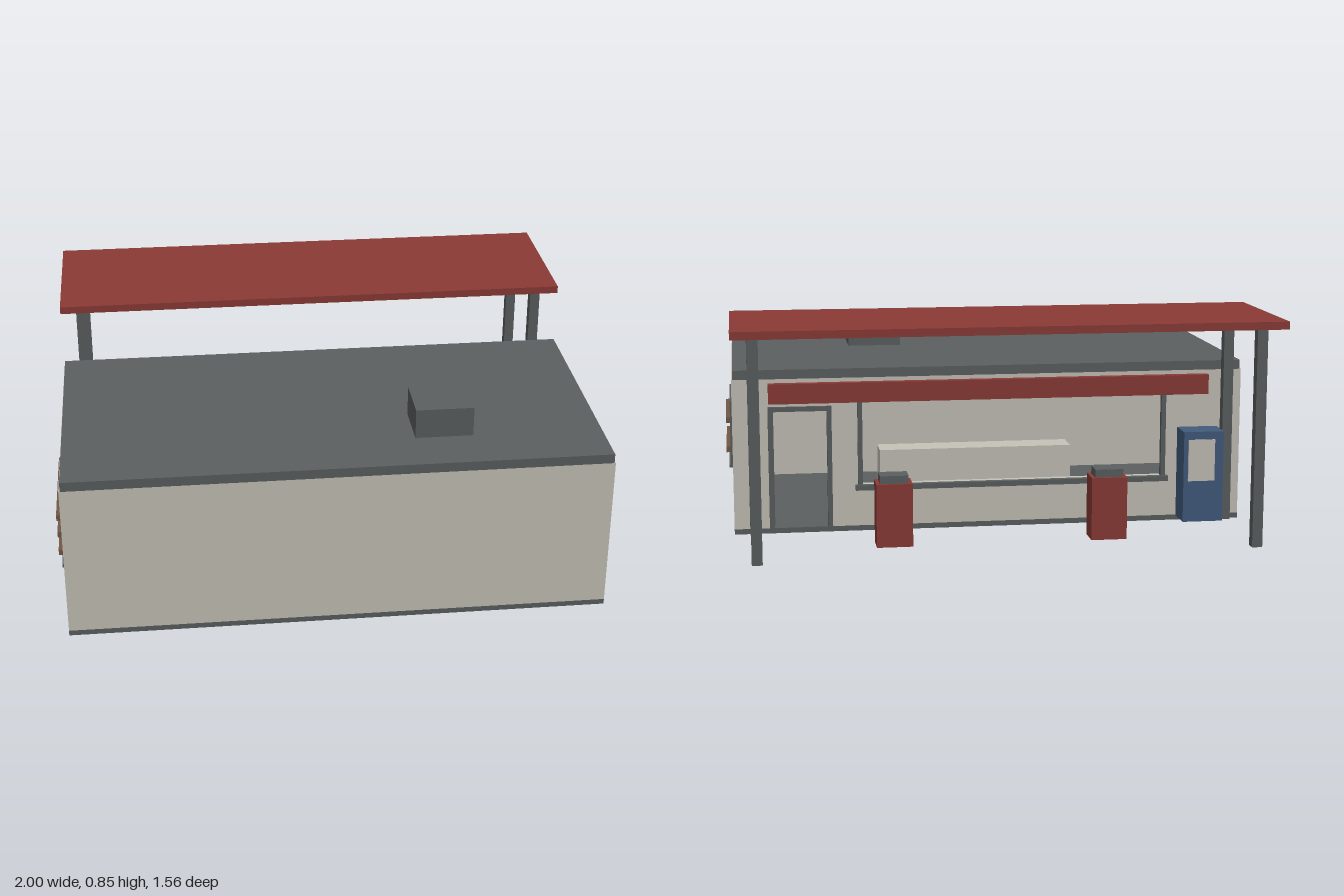
import * as THREE from 'three';

const material = (name, color) => {
  const m = new THREE.MeshStandardMaterial({ color });
  m.name = name;
  return m;
};

export function createModel() {
  const model = new THREE.Group();
  model.name = 'fillingStation';
  const plaster = material('plaster', 0xc6c2b8);
  const grey = material('grey', 0x5b5f5f);
  const red = material('red', 0x8a3a35);
  const blue = material('blue', 0x425b7d);
  const wood = material('wood', 0x735845);

  // Box given by its lower and upper limits on each axis
  const box = (name, mat, [x0, x1], [y0, y1], [z0, z1], parent = model) => {
    const mesh = new THREE.Mesh(new THREE.BoxGeometry(x1 - x0, y1 - y0, z1 - z0), mat);
    mesh.position.set((x0 + x1) / 2, (y0 + y1) / 2, (z0 + z1) / 2);
    mesh.name = name;
    parent.add(mesh);
    return mesh;
  };
  const rectangle = (Type, x0, x1, y0, y1) => new Type([
    new THREE.Vector2(x0, y0), new THREE.Vector2(x1, y0),
    new THREE.Vector2(x1, y1), new THREE.Vector2(x0, y1),
  ]);
  const T = 0.025; // wall thickness
  const wall = (name, shape) => {
    const geometry = new THREE.ExtrudeGeometry(shape, { depth: T, bevelEnabled: false });
    const mesh = new THREE.Mesh(geometry, plaster);
    mesh.name = name;
    model.add(mesh);
    return mesh;
  };

  // Floor, roof and plain front wall
  box('floorSlab', grey, [-0.975, 0.975], [0, 0.02], [-0.19, 0.78]);
  box('roof', grey, [-0.97, 0.97], [0.59, 0.625], [-0.19, 0.78]);
  box('frontWall', plaster, [-0.975, 0.975], [0.02, 0.59], [0.78 - T, 0.78]);

  // Rear wall with a doorway notch and a wide shop window
  const rear = new THREE.Shape([
    [-0.975, 0.02], [0.62, 0.02], [0.62, 0.47], [0.84, 0.47],
    [0.84, 0.02], [0.975, 0.02], [0.975, 0.59], [-0.975, 0.59],
  ].map(([x, y]) => new THREE.Vector2(x, y)));
  rear.holes.push(rectangle(THREE.Path, -0.67, 0.5, 0.18, 0.515));
  wall('rearWall', rear).position.z = -0.19;

  // Frames of the doorway and the shop window
  const frameZ = [-0.2, -0.18];
  for (const x of [0.605, 0.825]) box('doorJamb', grey, [x, x + 0.018], [0.02, 0.485], frameZ);
  box('doorHead', grey, [0.605, 0.843], [0.467, 0.485], frameZ);
  box('doorLeaf', grey, [0.822, 0.835], [0.025, 0.465], [-0.17, 0.03]);
  for (const x of [-0.68, 0.49]) box('shopWindowPost', grey, [x, x + 0.018], [0.17, 0.52], frameZ);
  box('shopWindowHead', grey, [-0.68, 0.508], [0.505, 0.52], frameZ);
  box('shopWindowSill', grey, [-0.69, 0.518], [0.16, 0.18], [-0.213, -0.165]);
  box('counter', plaster, [-0.39, 0.39], [0.02, 0.22], [0.24, 0.36]);
  box('signBoard', red, [-0.84, 0.84], [0.5, 0.575], [-0.222, -0.19]);

  // Side walls with framed, boarded windows; boards are [y, z start, z end, tilt]
  const boards = {
    '1': [[0.372, 0.168, 0.597, 0], [0.252, 0.183, 0.618, 0]],
    '-1': [[0.385, 0.175, 0.605, 0], [0.312, 0.17, 0.6, 0], [0.245, 0.18, 0.61, 0]],
  };
  for (const s of [1, -1]) {
    const span = (a, b) => (s > 0 ? [a, b] : [-b, -a]);
    const side = rectangle(THREE.Shape, -0.78 + T, 0.19 - T, 0.02, 0.59);
    side.holes.push(rectangle(THREE.Path, -0.595, -0.185, 0.19, 0.435));
    const mesh = wall('sideWall', side);
    mesh.rotation.y = Math.PI / 2; // shape x becomes -z
    mesh.position.x = s > 0 ? 0.975 - T : -0.975;

    const frame = new THREE.Group();
    frame.name = s > 0 ? 'leftWindow' : 'rightWindow';
    model.add(frame);
    for (const z of [0.182, 0.586]) {
      box('windowPost', grey, span(0.962, 0.984), [0.19, 0.445], [z, z + 0.014], frame);
    }
    box('windowHead', grey, span(0.962, 0.984), [0.432, 0.445], [0.182, 0.6], frame);
    box('windowSill', grey, span(0.955, 0.991), [0.18, 0.193], [0.175, 0.61], frame);
    for (const [y, z0, z1] of boards[s]) {
      box('board', wood, span(0.984, 1), [y - 0.011, y + 0.011], [z0, z1], frame);
    }
  }

  // Rooftop cooling unit with a raised grille
  box('coolingUnit', grey, [0.29, 0.5], [0.625, 0.735], [0.395, 0.585]);
  box('coolingGrille', grey, [0.31, 0.485], [0.65, 0.715], [0.387, 0.395]);

  // Canopy on four posts
  box('canopyRoof', red, [-0.975, 0.975], [0.822, 0.85], [-0.78, -0.197]);
  for (const x of [-0.898, 0.898]) {
    for (const z of [-0.27, -0.698]) {
      box('canopyPost', grey, [x - 0.019, x + 0.019], [0.02, 0.822], [z - 0.019, z + 0.019]);
    }
  }

  // Fuel pumps
  for (const x of [-0.39, 0.4]) {
    box('pumpBody', red, [x - 0.066, x + 0.066], [0.02, 0.253], [-0.534, -0.438]);
    box('pumpCap', grey, [x - 0.052, x + 0.052], [0.253, 0.282], [-0.524, -0.448]);
  }

  // Vending machine with a pale front panel
  box('vendingMachine', blue, [-0.88, -0.725], [0.02, 0.37], [-0.311, -0.2]);
  box('vendingPanel', plaster, [-0.845, -0.742], [0.18, 0.34], [-0.317, -0.311]);

  return model;
}
